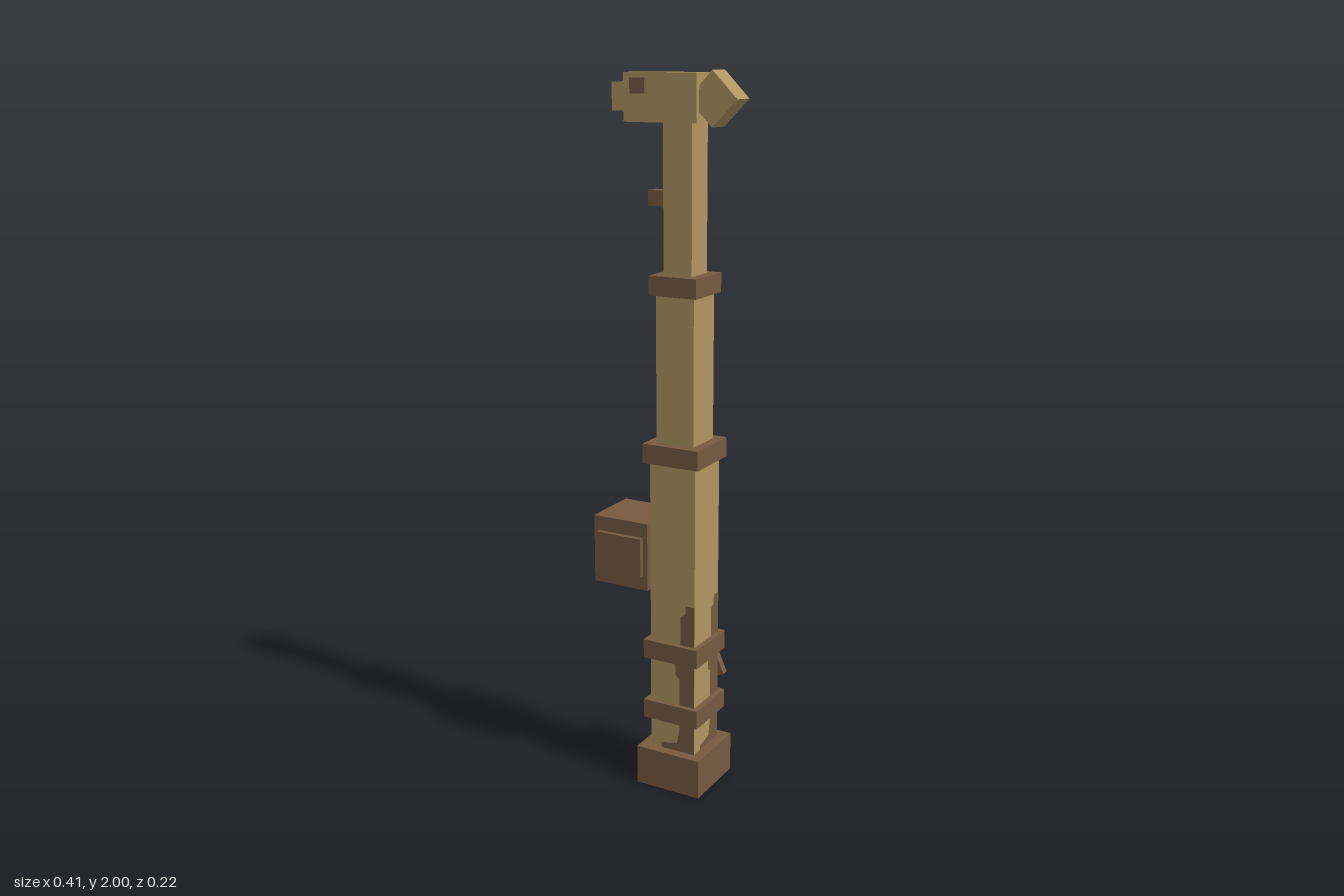
import * as THREE from 'three';

export function createModel() {
  const model = new THREE.Group();
  model.name = 'model';
  const tan = new THREE.MeshStandardMaterial({ color: 0xb09560 });
  tan.name = 'tan';
  const brown = new THREE.MeshStandardMaterial({ color: 0x755b40 });
  brown.name = 'brown';

  const CX = 0.038, CZ = 0.01; // axis of the pole

  // box given by its limits on x and y, and its depth about a middle z
  function box(name, material, x0, x1, y0, y1, depth, z = CZ) {
    const mesh = new THREE.Mesh(new THREE.BoxGeometry(x1 - x0, y1 - y0, depth), material);
    mesh.position.set((x0 + x1) / 2, (y0 + y1) / 2, z);
    mesh.name = name;
    model.add(mesh);
    return mesh;
  }
  // square section centred on the pole axis
  const section = (name, material, width, y0, y1) =>
    box(name, material, CX - width / 2, CX + width / 2, y0, y1, width);

  // telescoping pole on its base
  section('base', brown, 0.2, 0, 0.115);
  section('lowerPole', tan, 0.14, 0.115, 0.99);
  section('middlePole', tan, 0.114, 0.99, 1.45);
  section('upperPole', tan, 0.085, 1.45, 1.88);

  // bands around the pole
  for (const [y0, y1, width] of [[0.205, 0.26, 0.17], [0.39, 0.445, 0.17], [0.965, 1.02, 0.17], [1.425, 1.478, 0.142]])
    section('band', brown, width, y0, y1);

  // stain rising along the right edge of each face of the lower pole
  const outline = [
    [0.07, 0.565], [0.042, 0.565], [0.042, 0.54], [0.026, 0.53], [0.026, 0.45],
    [0.01, 0.4], [0.01, 0.35], [0.024, 0.34], [0.024, 0.19], [0.015, 0.14],
    [-0.035, 0.13], [-0.035, 0.115], [0.07, 0.115],
  ];
  const stainGeometry = new THREE.ShapeGeometry(new THREE.Shape(outline.map(([x, y]) => new THREE.Vector2(x, y))));
  stainGeometry.translate(0, 0, 0.0712);
  for (let i = 0; i < 4; i++) {
    const stain = new THREE.Mesh(stainGeometry, brown);
    stain.name = 'stain';
    stain.position.set(CX, 0, CZ);
    stain.rotation.y = i * Math.PI / 2;
    model.add(stain);
  }

  // pack with a raised panel on each side
  box('pack', brown, -0.205, -0.033, 0.594, 0.79, 0.172);
  box('packPanels', brown, -0.19, -0.047, 0.637, 0.748, 0.202);

  // peg below the head
  box('peg', brown, -0.063, -0.003, 1.654, 1.695, 0.04);

  // head, snout and eyes
  box('head', tan, -0.119, 0.096, 1.87, 1.995, 0.098);
  box('snout', tan, -0.163, -0.118, 1.897, 1.97, 0.069);
  box('eyes', brown, -0.093, -0.049, 1.942, 1.982, 0.124);

  // tilted block at the back of the head
  box('headBack', tan, 0.083, 0.183, 1.881, 1.981, 0.069).rotation.z = Math.PI / 4;

  // knot with two spread tails
  box('knot', brown, 0.003, 0.075, 0.388, 0.456, 0.038, -0.093);
  for (const side of [-1, 1]) {
    const x = CX + side * 0.039;
    box('knotTail', brown, x - 0.0145, x + 0.0145, 0.29, 0.415, 0.021, -0.095).rotation.z = side * 0.42;
  }

  return model;
}
